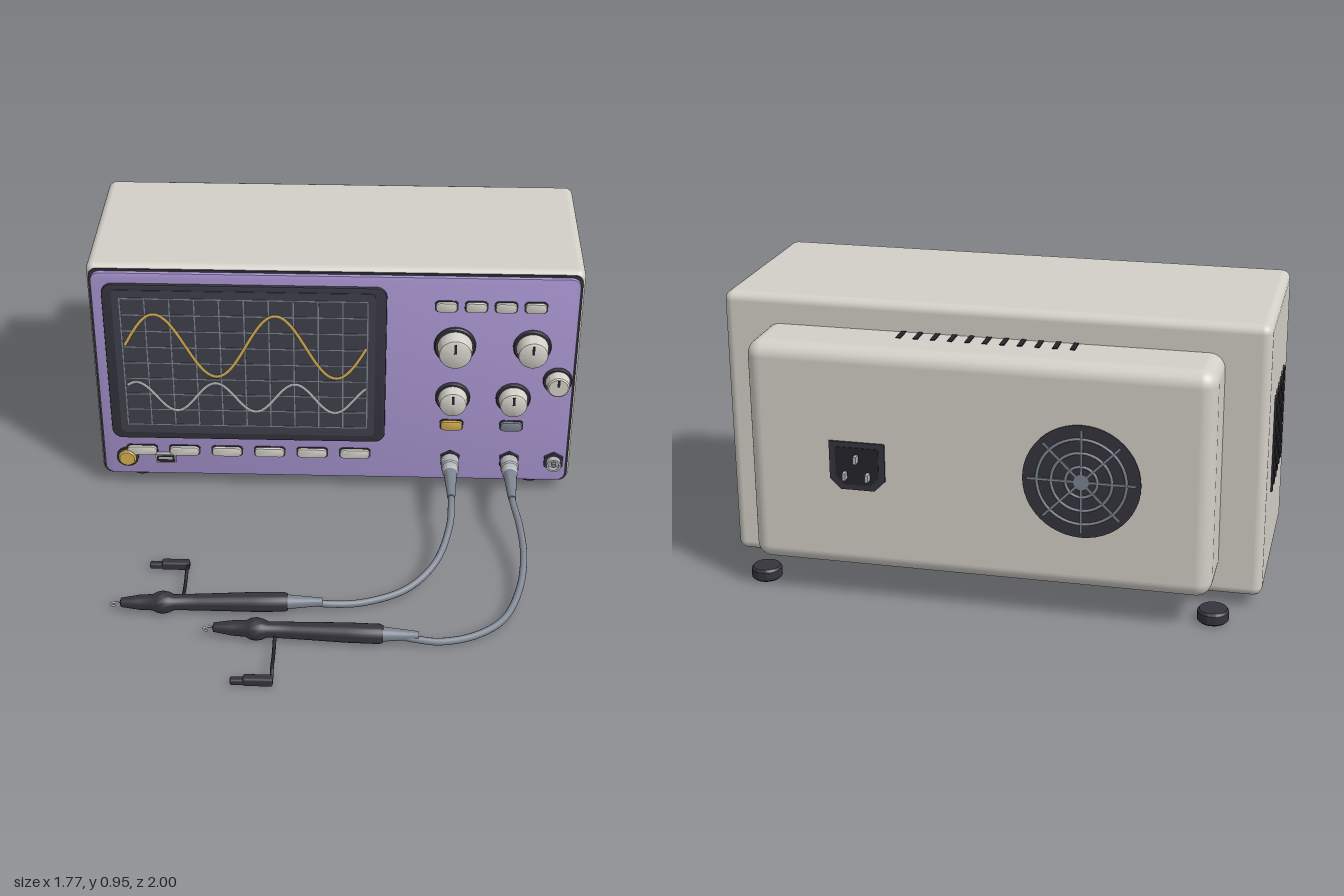
import * as THREE from 'three';
import { toCreasedNormals } from 'three/addons/utils/BufferGeometryUtils.js';
import { RoundedBoxGeometry } from 'three/addons/geometries/RoundedBoxGeometry.js';

const mat = (name, color, side = THREE.FrontSide) => {
  const m = new THREE.MeshStandardMaterial({ color, side });
  m.name = name;
  return m;
};
const V = (x, y, z) => new THREE.Vector3(x, y, z);

export function createModel() {
  const root = new THREE.Group();
  root.name = 'oscilloscope';
  const cream = mat('cream casing', 0xd3d0c8);
  const purple = mat('purple panel', 0xa794cf);
  const dark = mat('charcoal', 0x35343e);
  const glass = mat('screen glass', 0x3f3f49);
  const slate = mat('slate grey', 0x7c8490);
  const silver = mat('silver', 0xb4b5ba);
  const yellow = mat('amber', 0xd4ae50);
  const black = mat('black', 0x24242a);

  const add = (name, geo, material, x = 0, y = 0, z = 0, parent = root) => {
    const m = new THREE.Mesh(geo, material);
    m.name = name;
    m.position.set(x, y, z);
    parent.add(m);
    return m;
  };
  const box = (name, w, h, d, material, x, y, z, parent) =>
    add(name, new THREE.BoxGeometry(w, h, d), material, x, y, z, parent);
  // Rounded rectangle plate whose back sits at z and whose front is d ahead
  const plate = (name, w, h, r, d, material, x, y, z, bevel = 0.004) => {
    const a = w / 2 - bevel, b = h / 2 - bevel, s = new THREE.Shape();
    s.absarc(a - r, b - r, r, 0, Math.PI / 2);
    s.absarc(-a + r, b - r, r, Math.PI / 2, Math.PI);
    s.absarc(-a + r, -b + r, r, Math.PI, Math.PI * 1.5);
    s.absarc(a - r, -b + r, r, Math.PI * 1.5, Math.PI * 2);
    s.closePath();
    const g = new THREE.ExtrudeGeometry(s, {
      depth: d - bevel, bevelEnabled: bevel > 0, bevelSize: bevel,
      bevelThickness: bevel, bevelSegments: 2, curveSegments: 6,
    });
    return add(name, toCreasedNormals(g, 0.6), material, x, y, z);
  };
  // Turned part along +z from [radius, z] points
  const turned = (name, pts, material, x, y, z, seg = 32, parent = root) => {
    const g = new THREE.LatheGeometry(pts.map(p => new THREE.Vector2(...p)), seg);
    g.rotateX(Math.PI / 2);
    return add(name, toCreasedNormals(g, 0.6), material, x, y, z, parent);
  };
  const tube = (name, pts, r, material, seg = 60, parent = root) =>
    add(name, new THREE.TubeGeometry(new THREE.CatmullRomCurve3(pts), seg, r, 10), material, 0, 0, 0, parent);

  // Casing, rear housing and front panel
  add('casing', new RoundedBoxGeometry(1.76, 0.905, 0.66, 4, 0.03), cream, 0, 0.4925, -0.44);
  add('rearHousing', new RoundedBoxGeometry(1.48, 0.74, 0.3, 5, 0.05), cream, 0, 0.48, -0.82);
  plate('panelGap', 1.74, 0.885, 0.03, 0.006, dark, 0, 0.4905, -0.112, 0);
  plate('frontPanel', 1.725, 0.87, 0.03, 0.022, purple, 0, 0.4905, -0.114);
  const F = -0.092;

  // Feet
  for (const x of [-0.74, 0.74]) for (const z of [-0.205, -0.87]) {
    const f = turned('foot', [[0, 0], [0.044, 0], [0.05, 0.006], [0.05, 0.034], [0.044, 0.042], [0, 0.042]], dark, x, 0, z);
    f.rotation.x = -Math.PI / 2;
  }

  // Vents on the sides and on top of the rear housing
  for (const s of [-1, 1]) for (let i = 0; i < 6; i++) {
    add('sideVent', new RoundedBoxGeometry(0.014, 0.33, 0.018, 2, 0.006), black, s * 0.88, 0.492, -0.273 - i * 0.06);
  }
  for (let i = -5; i <= 5; i++) box('topVent', 0.016, 0.006, 0.07, black, i * 0.0555, 0.85, -0.8);

  // Screen with graticule and two traces
  plate('screenBezel', 1.01, 0.66, 0.035, 0.012, dark, -0.32, 0.555, F, 0.004);
  plate('screenGlass', 0.935, 0.61, 0.02, 0.003, glass, -0.322, 0.558, F + 0.011, 0);
  const Z = F + 0.0145, gx = -0.322, gy = 0.56, gw = 0.88, gh = 0.54;
  for (let i = 0; i <= 10; i++) box('gridLine', 0.0045, gh, 0.002, slate, gx - gw / 2 + gw * i / 10, gy, Z);
  for (let i = 0; i <= 8; i++) box('gridLine', gw, 0.0045, 0.002, slate, gx, gy - gh / 2 + gh * i / 8, Z);
  const trace = (name, mean, amp, cycles, phase, material) => {
    const pts = [];
    for (let i = 0; i <= 60; i++) {
      pts.push(V(-0.753 + 0.867 * i / 60, mean + amp * Math.sin(phase + cycles * Math.PI * 2 * i / 60), 0));
    }
    const t = tube(name, pts, 0.0055, material, 120);
    t.scale.z = 0.4;
    t.position.z = Z + 0.001;
  };
  trace('amberTrace', 0.637, 0.13, 2, 0, yellow);
  trace('silverTrace', 0.417, 0.061, 3, 0.9, silver);

  // Buttons
  const button = (name, w, material, x, y) => {
    plate(name + 'Rim', w + 0.008, 0.046, 0.015, 0.003, dark, x, y, F, 0);
    plate(name, w, 0.038, 0.012, 0.014, material, x, y, F);
  };
  for (let i = 0; i < 4; i++) button('menuButton', 0.075, cream, 0.395 + i * 0.105, 0.811);
  for (let i = 0; i < 6; i++) button('softKey', 0.11, cream, -0.72 + i * 0.159, 0.166);
  button('channelOneButton', 0.08, yellow, 0.43, 0.303);
  button('channelTwoButton', 0.08, slate, 0.65, 0.303);
  turned('powerButtonRim', [[0.041, 0], [0.041, 0.008], [0, 0.008]], dark, -0.777, 0.133, F);
  turned('powerButton', [[0.034, 0], [0.034, 0.015], [0.028, 0.02], [0, 0.02]], yellow, -0.777, 0.133, F);

  // Data port
  plate('portShell', 0.076, 0.038, 0.004, 0.016, silver, -0.632, 0.135, F, 0);
  box('portOpening', 0.066, 0.028, 0.003, black, -0.632, 0.135, F + 0.0165);
  box('portTongue', 0.05, 0.01, 0.003, silver, -0.632, 0.139, F + 0.0175);

  // Knobs: dark collar, rounded cap and pointer mark
  for (const [x, y, r, h] of [[0.43, 0.65, 0.075, 0.072], [0.706, 0.65, 0.068, 0.07],
    [0.806, 0.507, 0.053, 0.055], [0.43, 0.427, 0.063, 0.06], [0.65, 0.427, 0.063, 0.06]]) {
    const k = new THREE.Group();
    k.name = 'knob';
    k.position.set(x, y, F);
    root.add(k);
    turned('knobCollar', [[r, 0], [r, 0.008], [r * 0.94, 0.014], [0, 0.014]], dark, 0, 0, 0, 36, k);
    const c = r * 0.84;
    turned('knobCap', [[c, 0.012], [c * 0.95, h - 0.012], [c * 0.9, h - 0.004], [c * 0.78, h], [0, h]], cream, 0, 0, 0, 36, k);
    box('knobMark', 0.009, c * 0.62, 0.004, black, 0, c * 0.42, h, k);
  }

  // Input sockets; two carry plugs with tapered strain reliefs
  for (const x of [0.43, 0.65, 0.815]) {
    turned('socketNut', [[0.04, 0], [0.04, 0.012], [0, 0.012]], dark, x, 0.147, F, 6);
    turned('socketBarrel', [[0.027, 0], [0.027, 0.036], [0.019, 0.036], [0.019, 0.02], [0, 0.02]], silver, x, 0.147, F, 24);
    turned('socketPin', [[0.008, 0.01], [0.008, 0.034], [0, 0.034]], slate, x, 0.147, F, 12);
    if (x > 0.8) continue;
    turned('plug', [[0, 0.015], [0.034, 0.015], [0.034, 0.055], [0.03, 0.06], [0.03, 0.085], [0.025, 0.094], [0, 0.094]], silver, x, 0.147, F, 24);
    turned('plugRelief', [[0.026, 0.09], [0.022, 0.13], [0.014, 0.24], [0, 0.24]], slate, x, 0.147, F, 20);
  }

  // Cables
  tube('cableOne', [V(0.43, 0.147, 0.1), V(0.43, 0.143, 0.16), V(0.422, 0.112, 0.27), V(0.37, 0.066, 0.42),
    V(0.27, 0.032, 0.525), V(0.12, 0.018, 0.585), V(0, 0.027, 0.607), V(-0.06, 0.036, 0.609)], 0.0125, slate, 80);
  tube('cableTwo', [V(0.65, 0.147, 0.1), V(0.652, 0.143, 0.16), V(0.672, 0.115, 0.26), V(0.682, 0.078, 0.39),
    V(0.66, 0.04, 0.53), V(0.6, 0.018, 0.66), V(0.5, 0.014, 0.74), V(0.38, 0.018, 0.778),
    V(0.3, 0.028, 0.779), V(0.25, 0.036, 0.774)], 0.0125, slate, 90);

  // Probes: grip turned along its length, hook tip, ground lead and clip
  const probe = (x, z, slope, side) => {
    const g = new THREE.Group();
    g.name = 'probe';
    g.position.set(x, 0.038, z);
    g.quaternion.setFromUnitVectors(V(0, 0, 1), V(-1, 0, slope).normalize());
    root.add(g);
    turned('probeRelief', [[0, -0.12], [0.014, -0.12], [0.026, 0.01]], slate, 0, 0, 0, 20, g);
    turned('probeGrip', [[0, 0], [0.029, 0], [0.034, 0.012], [0.034, 0.12], [0.029, 0.3], [0.027, 0.39],
      [0.036, 0.41], [0.04, 0.43], [0.036, 0.45], [0.028, 0.465], [0.026, 0.51], [0.016, 0.575], [0, 0.58]], dark, 0, 0, 0, 24, g);
    tube('probeHook', [V(0, 0, 0.57), V(0, 0, 0.595), V(0.009, 0, 0.61), V(0.017, 0, 0.604), V(0.018, 0, 0.592)], 0.0035, silver, 20, g);
    const lx = x - 0.365, zc = z + side * 0.215;
    tube('groundLead', [V(lx, 0.032, z + side * 0.02), V(lx, 0.022, z + side * 0.07), V(lx, 0.026, z + side * 0.12),
      V(lx, 0.036, z + side * 0.165), V(lx, 0.018, zc)], 0.006, black, 30);
    add('groundClip', new RoundedBoxGeometry(0.1, 0.032, 0.032, 2, 0.008), dark, lx - 0.045, 0.017, zc);
    add('clipJaw', new RoundedBoxGeometry(0.05, 0.022, 0.024, 2, 0.006), dark, lx - 0.112, 0.015, zc + 0.002);
  };
  probe(-0.14, 0.613, 0.035, -1);
  probe(0.19, 0.768, -0.03, 1);

  // Fan with ring and spoke guard on the back
  const fan = new THREE.Group();
  fan.name = 'fan';
  fan.position.set(-0.335, 0.475, -0.968);
  fan.rotation.y = Math.PI;
  root.add(fan);
  turned('fanRecess', [[0.185, 0], [0.185, 0.006], [0, 0.006]], dark, 0, 0, 0, 48, fan);
  for (const r of [0.05, 0.095, 0.14]) add('guardRing', new THREE.TorusGeometry(r, 0.005, 6, 48), slate, 0, 0, 0.007, fan);
  for (let i = 0; i < 4; i++) box('guardSpoke', 0.34, 0.008, 0.006, slate, 0, 0, 0.007, fan).rotation.z = i * Math.PI / 4;
  turned('fanHub', [[0.026, 0], [0.026, 0.01], [0, 0.01]], slate, 0, 0, 0, 24, fan);

  // Mains inlet with chamfered lower corners and three pins
  const inlet = new THREE.Group();
  inlet.name = 'powerInlet';
  inlet.position.set(0.38, 0.465, -0.968);
  inlet.rotation.y = Math.PI;
  root.add(inlet);
  const outline = k => new THREE.Shape([[-0.09, 0.08], [-0.09, -0.045], [-0.055, -0.08], [0.055, -0.08], [0.09, -0.045], [0.09, 0.08]]
    .reverse().map(p => new THREE.Vector2(p[0] * k, p[1] * k)));
  add('inletFrame', new THREE.ExtrudeGeometry(outline(1), { depth: 0.008, bevelEnabled: false }), dark, 0, 0, 0, inlet);
  add('inletSocket', new THREE.ExtrudeGeometry(outline(0.78), { depth: 0.002, bevelEnabled: false }), black, 0, 0, 0.008, inlet);
  for (const [px, py] of [[-0.037, -0.03], [0, 0.028], [0.037, -0.03]]) box('inletPin', 0.01, 0.024, 0.03, silver, px, py, 0.017, inlet);
  return root;
}
